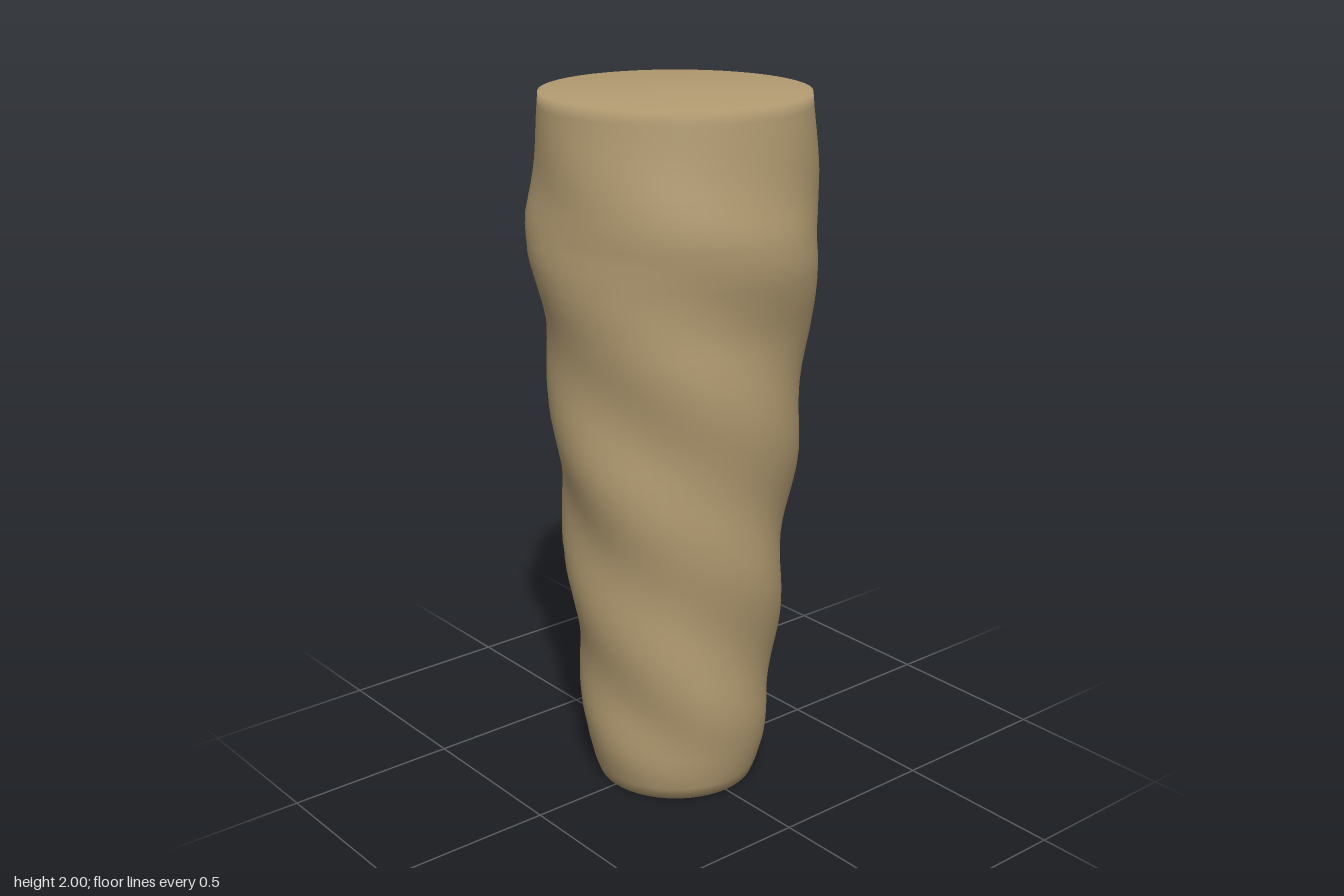
import * as THREE from 'three';

const SEGMENTS = 48, RINGS = 56;

// Radius profile from base to top: [radius, height]
const profile = [
  [0.228, 0], [0.243, 0.04], [0.26, 0.11], [0.271, 0.2], [0.284, 0.4], [0.302, 0.6],
  [0.318, 0.8], [0.338, 1], [0.352, 1.2], [0.366, 1.4], [0.391, 1.57], [0.396, 1.67],
  [0.381, 1.82], [0.364, 2],
];

function baseRadius(y) {
  let i = 0;
  while (i < profile.length - 2 && y > profile[i + 1][1]) i++;
  const [r0, y0] = profile[i], [r1, y1] = profile[i + 1];
  return THREE.MathUtils.lerp(r0, r1, (y - y0) / (y1 - y0));
}

// Three soft ridges wind down around the body; a lengthwise fold runs along one side
function radiusAt(angle, y) {
  const { smoothstep } = THREE.MathUtils;
  const fade = smoothstep(y, 0, 0.3) * (1 - smoothstep(y, 1.6, 2));
  const ridge = 0.01 * Math.cos((2 * Math.PI * (y - 1.03)) / 0.46 + 3 * angle);
  const ripple = 0.003 * Math.sin(5 * angle + 7 * y);
  const offset = Math.atan2(Math.sin(angle + 1.31), Math.cos(angle + 1.31));
  const fold = 0.012 * Math.exp(-((offset / 0.13) ** 2)) * (0.6 + 0.4 * Math.sin(9 * y));
  return baseRadius(y) + fade * (ridge + ripple - fold);
}

function wrappedBodyGeometry() {
  const positions = [], index = [];
  for (let j = 0; j <= RINGS; j++) {
    const y = (2 * j) / RINGS;
    for (let i = 0; i < SEGMENTS; i++) {
      const angle = (i / SEGMENTS) * Math.PI * 2;
      const r = radiusAt(angle, y);
      positions.push(r * Math.sin(angle), y, r * Math.cos(angle));
    }
  }
  const bottom = positions.length / 3, top = bottom + 1;
  positions.push(0, 0, 0, 0, 2, 0);

  for (let i = 0; i < SEGMENTS; i++) {
    const n = (i + 1) % SEGMENTS;
    // Side wall
    for (let j = 0; j < RINGS; j++) {
      const a = j * SEGMENTS + i, b = j * SEGMENTS + n;
      index.push(a, b, b + SEGMENTS, a, b + SEGMENTS, a + SEGMENTS);
    }
    // Flat ends, sharing the rim so the shading stays soft
    const rim = RINGS * SEGMENTS;
    index.push(bottom, n, i, top, rim + i, rim + n);
  }
  const geometry = new THREE.BufferGeometry();
  geometry.setAttribute('position', new THREE.Float32BufferAttribute(positions, 3));
  geometry.setIndex(index);
  geometry.computeVertexNormals();
  return geometry;
}

export function createModel() {
  const group = new THREE.Group();
  group.name = 'wrappedColumn';
  const material = new THREE.MeshStandardMaterial({ color: 0xb39c72 });
  const body = new THREE.Mesh(wrappedBodyGeometry(), material);
  body.name = 'wrappedBody';
  group.add(body);
  return group;
}
